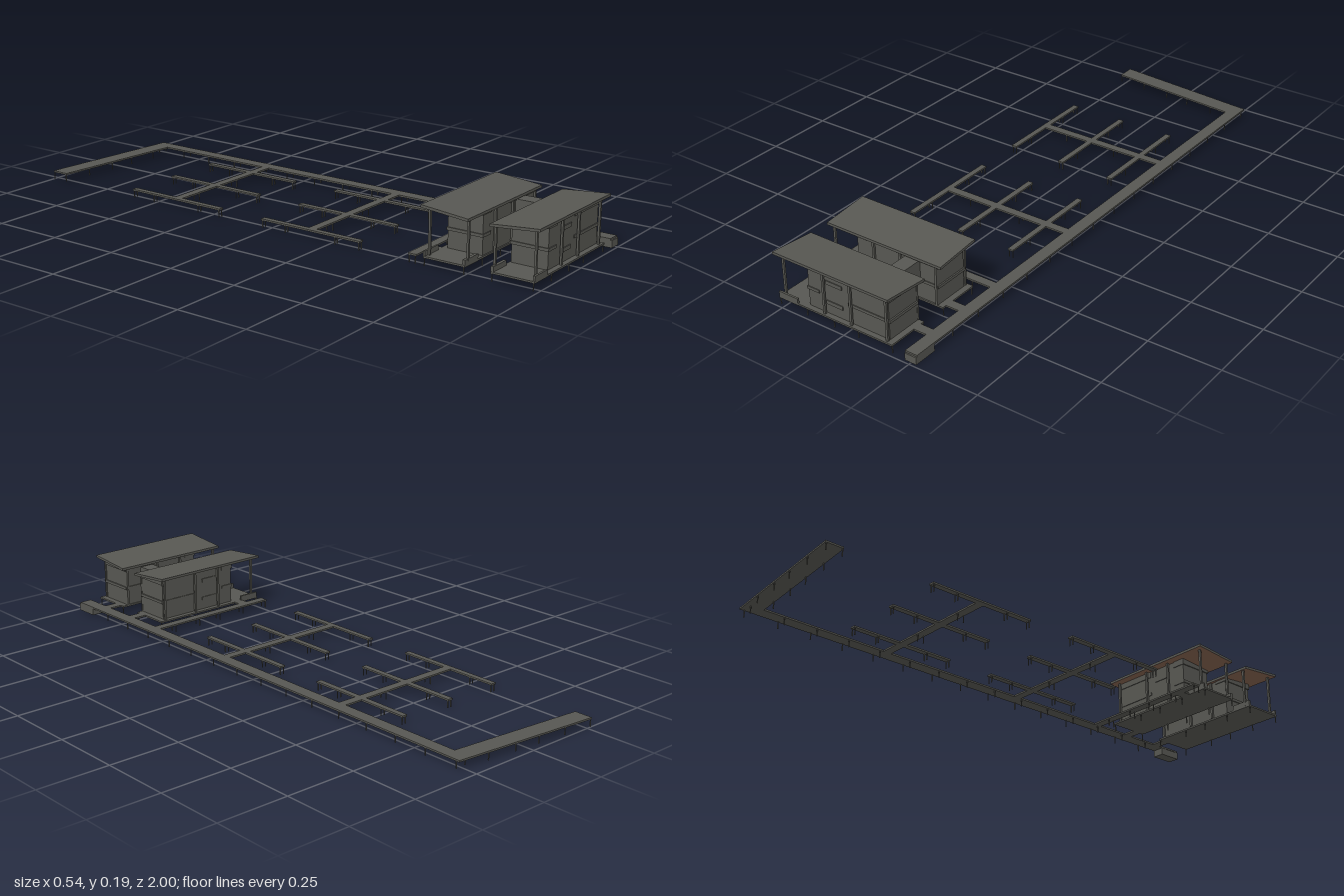
import * as THREE from 'three';

export function createModel() {
  const model = new THREE.Group();
  const mat = (name, color) => {
    const m = new THREE.MeshStandardMaterial({ color });
    m.name = name;
    return m;
  };
  const grey = mat('weathered grey', 0x575752);
  const brown = mat('brown soffit', 0x84624f);

  // box given by its limits on each axis
  const box = (parent, name, x0, x1, y0, y1, z0, z1, material = grey) => {
    const g = new THREE.BoxGeometry(x1 - x0, y1 - y0, Math.abs(z1 - z0));
    g.translate((x0 + x1) / 2, (y0 + y1) / 2, (z0 + z1) / 2);
    const m = new THREE.Mesh(g, material);
    m.name = name;
    parent.add(m);
    return m;
  };
  const D0 = 0.025, D1 = 0.031;
  const PILE_X = [-0.268, -0.159, -0.05, 0.045, 0.153];
  const deck = (parent, name, x0, x1, z0, z1) => box(parent, name, x0, x1, D0, D1, z0, z1);
  const pile = (parent, x, z) => box(parent, 'pile', x - 0.0015, x + 0.0015, 0, D0, z - 0.0015, z + 0.0015);

  // Main walkway with piles along both edges and a solid end block
  const walkway = new THREE.Group();
  walkway.name = 'mainWalkway';
  model.add(walkway);
  deck(walkway, 'walkwayDeck', 0.225, 0.27, -0.9, 0.985);
  box(walkway, 'endBlock', 0.227, 0.27, 0, D0, 0.905, 0.99);
  for (let i = 0; i < 15; i++)
    for (const x of [0.229, 0.266]) pile(walkway, x, 0.815 - i * 0.125);

  // Slanted arm at the far end
  const arm = new THREE.Shape([[-0.27, 1], [0.27, 0.95], [0.27, 0.885], [-0.27, 0.935]]
    .map(([x, y]) => new THREE.Vector2(x, y)));
  const armGeo = new THREE.ExtrudeGeometry(arm, { depth: D1 - D0, bevelEnabled: false });
  armGeo.rotateX(-Math.PI / 2).translate(0, D0, 0);
  const armMesh = new THREE.Mesh(armGeo, grey);
  armMesh.name = 'slantedArm';
  walkway.add(armMesh);
  for (const x of PILE_X)
    for (const d of [0.003, 0.061]) pile(walkway, x, -1 + d + (x + 0.27) * 0.0926);

  // Mooring piers: a cross dock with three finger docks each
  for (const zc of [0.167, -0.408]) {
    const pier = new THREE.Group();
    pier.name = 'mooringPier';
    model.add(pier);
    deck(pier, 'crossDock', -0.26, 0.225, zc - 0.015, zc + 0.015);
    for (const x of [-0.159, 0.045])
      for (const d of [-0.012, 0.012]) pile(pier, x, zc + d);
    for (const x of [-0.261, -0.058, 0.146]) {
      deck(pier, 'fingerDock', x - 0.01, x + 0.01, zc - 0.198, zc + 0.198);
      for (const dx of [-0.007, 0.007])
        for (const dz of [-0.193, -0.1, 0.1, 0.193]) pile(pier, x + dx, zc + dz);
    }
  }

  // Quay beside the rear house
  const quay = new THREE.Group();
  quay.name = 'sideQuay';
  model.add(quay);
  deck(quay, 'quayDeck', -0.27, 0.225, 0.546, 0.577);
  deck(quay, 'quayLink', -0.198, -0.162, 0.577, 0.61);
  for (const x of PILE_X)
    for (const z of [0.55, 0.573]) pile(quay, x, z);

  // Twin houses mirrored about their shared centre line
  const MID = 0.795;
  const slope = z => 0.015 * (Math.abs(z - MID) - 0.037) / 0.168;
  const lean = (mesh, above) => {
    const p = mesh.geometry.attributes.position;
    for (let i = 0; i < p.count; i++)
      if (p.getY(i) > above) p.setY(i, p.getY(i) + slope(p.getZ(i)));
    mesh.geometry.computeVertexNormals();
  };
  for (const s of [1, -1]) {
    const house = new THREE.Group();
    house.name = s > 0 ? 'frontHouse' : 'rearHouse';
    model.add(house);
    const part = (name, x0, x1, y0, y1, a, b, m) =>
      box(house, name, x0, x1, y0, y1, MID + s * a, MID + s * b, m);

    part('houseDeck', -0.27, 0.178, D0, D1, 0.045, 0.193);
    for (const x of [-0.268, -0.159, -0.05, 0.045, 0.176])
      for (const d of [0.049, 0.189]) pile(house, x, MID + s * d);

    // Walls rise to the pitched roof, whose underside is brown
    lean(part('walls', -0.159, 0.157, D1, 0.171, 0.05, 0.175), 0.1);
    const roof = part('roof', -0.271, 0.18, 0.17, 0.179, 0.037, 0.205,
      [grey, grey, grey, brown, grey, grey]);
    lean(roof, 0);

    // Horizontal bands that wrap the corners, the upper one reaching the roof
    for (const [x0, x1] of [[-0.163, -0.115], [0, 0.162]]) {
      part('wallBand', x0, x1, 0.09, 0.1, 0.047, 0.178);
      lean(part('upperWallBand', x0, x1, 0.161, 0.171, 0.047, 0.178), 0.165);
    }
    // Window bars between the middle posts
    for (const y of [0.064, 0.134]) part('windowBar', -0.087, -0.023, y, y + 0.013, 0.174, 0.178);

    // Posts on the outer and inner faces
    for (const x of [-0.249, -0.091, 0.015, 0.154]) {
      lean(part('outerPost', x - 0.004, x + 0.004, D1, 0.171, 0.18, 0.187), 0.1);
      lean(part('innerPost', x - 0.004, x + 0.004, D1, 0.171, 0.043, 0.05), 0.1);
    }
    // Low terrace benches
    part('terraceBench', -0.269, -0.193, D0, 0.048, 0.187, 0.194);
    part('terraceBench', -0.269, -0.193, D0, 0.048, 0.044, 0.054);
    // Gangway to the main walkway
    part('gangway', 0.175, 0.227, D0, D1, 0.06, 0.093);
  }

  // Raised passage between the houses
  box(model, 'raisedPassage', 0.037, 0.09, 0.1, 0.165, 0.745, 0.845);

  return model;
}
